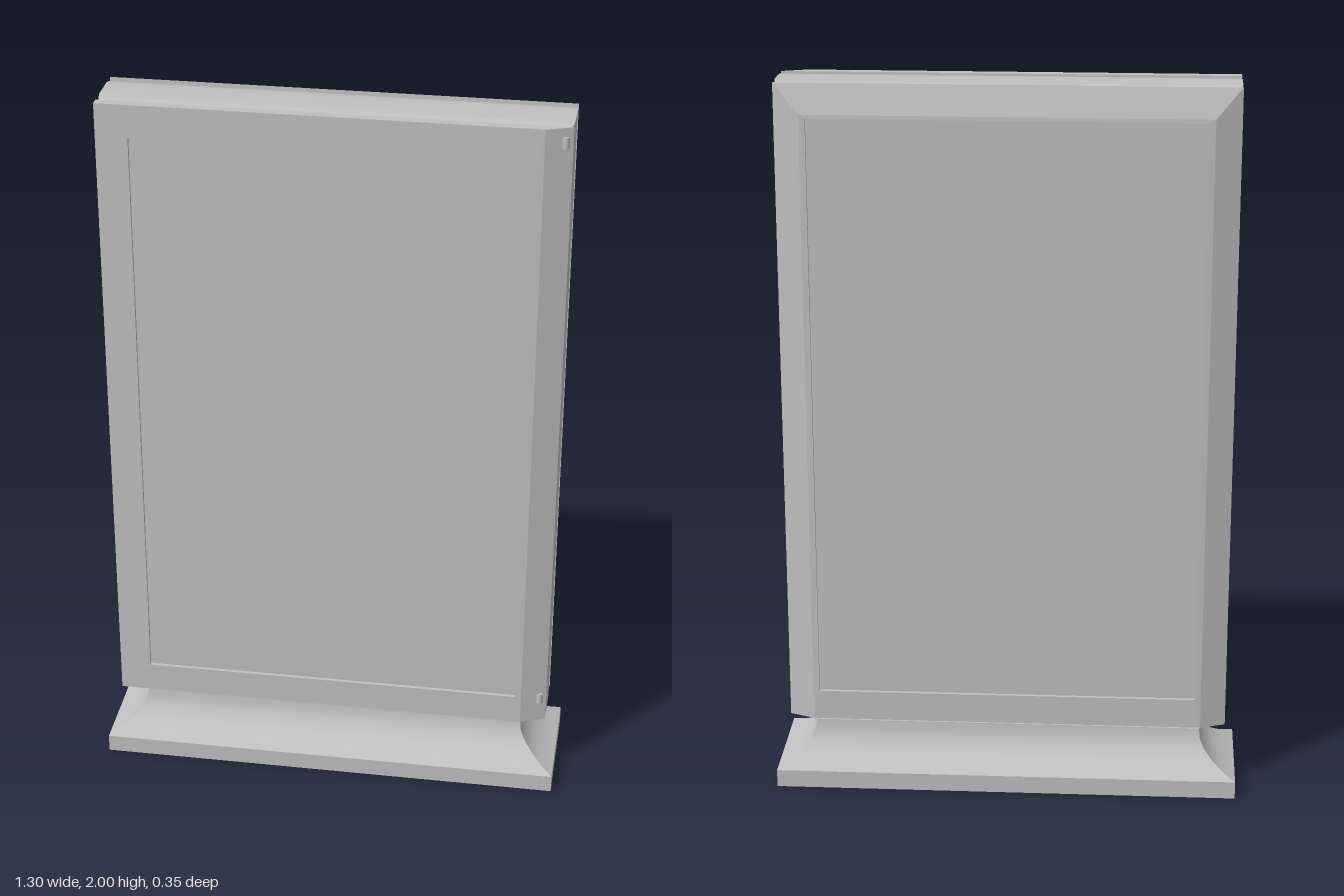
import * as THREE from 'three';

// Skin of stacked rectangles [x0, x1, z0, z1, y]; each side has its own vertices so corners stay sharp.
function loft(rings, { smooth = true, caps = true } = {}) {
  const pos = [], idx = [];
  const corners = ([x0, x1, z0, z1, y]) => [[x0, y, z1], [x1, y, z1], [x1, y, z0], [x0, y, z0]];
  for (let side = 0; side < 4; side++) {
    const base = pos.length / 3;
    rings.forEach((ring, k) => {
      const c = corners(ring);
      pos.push(...c[side], ...c[(side + 1) % 4]);
      if (k === 0) return;
      const a = base + 2 * (k - 1);
      idx.push(a, a + 1, a + 3, a, a + 3, a + 2);
    });
  }
  if (caps) {
    [[rings[0], true], [rings[rings.length - 1], false]].forEach(([ring, flip]) => {
      const b = pos.length / 3;
      corners(ring).forEach((c) => pos.push(...c));
      idx.push(...(flip ? [b, b + 2, b + 1, b, b + 3, b + 2] : [b, b + 1, b + 2, b, b + 2, b + 3]));
    });
  }
  let g = new THREE.BufferGeometry();
  g.setAttribute('position', new THREE.Float32BufferAttribute(pos, 3));
  g.setIndex(idx);
  if (!smooth) g = g.toNonIndexed();
  g.computeVertexNormals();
  return g;
}

const centred = (hx, hz, y) => [-hx, hx, -hz, hz, y];

// Upright rectangle [left, right, bottom, top, z], stored ready to be tipped up to face +z
const upright = ([x0, x1, y0, y1, z]) => [x0, x1, -y1, -y0, z];

export function createModel() {
  const model = new THREE.Group();
  const grey = new THREE.MeshStandardMaterial({ color: 0xc0c0c0 });
  grey.name = 'grey metal';

  const add = (name, geometry, parent = model) => {
    const mesh = new THREE.Mesh(geometry, grey);
    mesh.name = name;
    parent.add(mesh);
    return mesh;
  };

  const W = 0.617, BOTTOM = 0.185, TOP = 2;
  const open = { x: 0.53, y0: 0.27, y1: 1.91 };

  // Foot: low plinth with a concave flare up to the neck
  const flare = [[0, 0.05], [0.035, 0.065], [0.065, 0.085], [0.088, 0.11], [0.1, 0.135], [0.103, 0.165]];
  add('footPlinth', loft([centred(0.648, 0.174, 0), centred(0.648, 0.174, 0.05)]));
  add('footFlare', loft(flare.map(([d, y]) => centred(0.648 - d, 0.174 - d, y))));
  add('neck', loft([centred(0.55, 0.06, 0.16), centred(0.55, 0.06, 0.2)]));

  // Cabinet with softly rounded long edges
  const section = [[0.026, -0.08], [0.01, -0.072], [0.003, -0.06], [0, -0.04],
    [0, 0.04], [0.003, 0.06], [0.01, 0.072], [0.026, 0.08]];
  const cabinet = loft(section.map(([d, z]) => upright([-W + d, W - d, BOTTOM + d, TOP - d, z])));
  add('cabinet', cabinet.rotateX(Math.PI / 2));

  // Framed display face; insets give how far each outer edge slopes in
  function displayFace(name, left, right, bottom, top) {
    const face = new THREE.Group();
    face.name = name;
    const rings = [
      [-W + 0.026, W - 0.026, BOTTOM + 0.026, TOP - 0.026, 0.079],
      [-W, W, BOTTOM, TOP, 0.081],
      [-W + left, W - right, BOTTOM + bottom, TOP - top, 0.108],
      [-open.x, open.x, open.y0, open.y1, 0.109],
      [-open.x, open.x, open.y0, open.y1, 0.099],
    ];
    add('frame', loft(rings.map(upright), { smooth: false, caps: false }).rotateX(Math.PI / 2), face);
    const panel = add('panel', new THREE.PlaneGeometry(2 * open.x, open.y1 - open.y0), face);
    panel.position.set(0, (open.y0 + open.y1) / 2, 0.099);
    model.add(face);
    return face;
  }
  displayFace('frontFace', 0, 0.07, 0, 0);
  displayFace('backFace', 0.07, 0.07, 0, 0.08).rotation.y = Math.PI;

  // Small hinge knuckles on the opening edge
  for (const y of [0.26, 1.96]) {
    const hinge = add('hinge', new THREE.CylinderGeometry(0.01, 0.01, 0.03, 12));
    hinge.position.set(0.598, y, 0.086);
  }
  return model;
}
